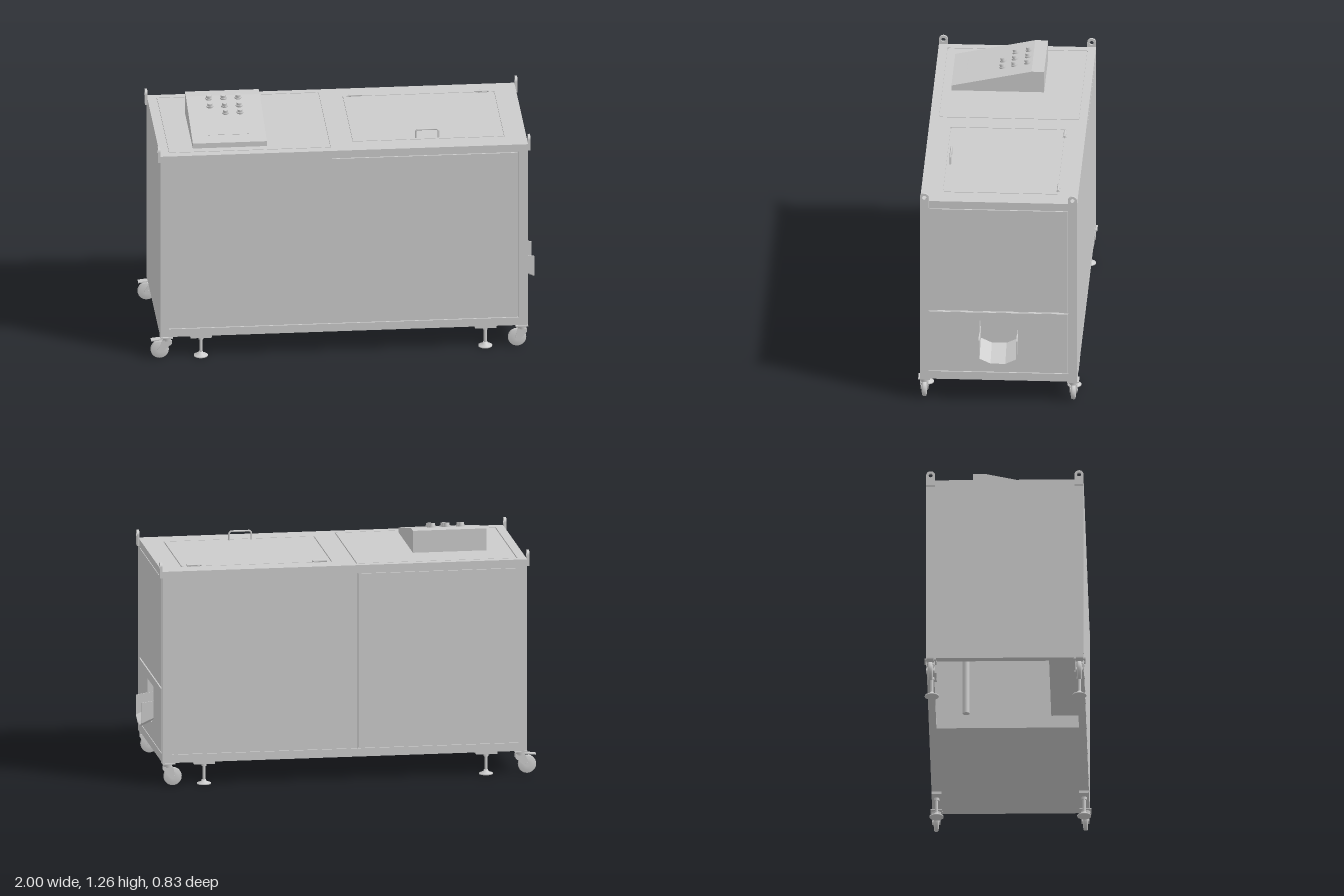
import * as THREE from 'three';

const mat = new THREE.MeshStandardMaterial({ color: 0xcccccc, flatShading: false, side: THREE.DoubleSide });
const X0 = -0.95, X1 = 0.94, Y0 = 0.12, Y1 = 1.125, Z = 0.403;

function add(parent, name, geo, x = 0, y = 0, z = 0) {
  const m = new THREE.Mesh(geo, mat);
  m.name = name;
  m.position.set(x, y, z);
  parent.add(m);
  return m;
}
// box given by its two corners
function box(parent, name, x0, x1, y0, y1, z0, z1) {
  return add(parent, name, new THREE.BoxGeometry(x1 - x0, y1 - y0, z1 - z0),
    (x0 + x1) / 2, (y0 + y1) / 2, (z0 + z1) / 2);
}
const cyl = (r0, r1, h, n = 20) => new THREE.CylinderGeometry(r0, r1, h, n);
const poly = (pts) => new THREE.Shape(pts.map(([a, b]) => new THREE.Vector2(a, b)));
const rect = ([a, b, c, d], g = 0) =>
  poly([[a - g, b - g], [c + g, b - g], [c + g, d + g], [a - g, d + g]]);
const extrude = (shape, depth) =>
  new THREE.ExtrudeGeometry(shape, { depth, bevelEnabled: false, curveSegments: 16 });

// One cabinet face: a frame, flush panels with a fine gap round them, and a backing sheet.
// The face is drawn in (u, v) and lies at local z = 0, facing +z.
function face(name, outer, panels, opening) {
  const g = new THREE.Group();
  g.name = name;
  const frame = rect(outer), back = rect(outer);
  panels.forEach((p) => frame.holes.push(rect(p, 0.005)));
  if (opening) back.holes.push(opening);
  add(g, name + 'Frame', extrude(frame, 0.008), 0, 0, -0.008);
  add(g, name + 'Backing', extrude(back, 0.006), 0, 0, -0.014);
  panels.forEach((p, i) => {
    const s = rect(p);
    if (opening && i === 0) s.holes.push(opening);
    add(g, name + 'Panel', extrude(s, 0.008), 0, 0, -0.008);
  });
  return g;
}

function cabinet() {
  const g = new THREE.Group();
  g.name = 'cabinet';
  const front = face('front', [X0, Y0, X1, Y1], [[-0.9, 0.168, -0.075, 1.08], [-0.067, 0.168, 0.885, 1.08]]);
  front.position.z = Z;
  const back = face('back', [-X1, Y0, -X0, Y1], [[-0.885, 0.168, 0.067, 1.08], [0.075, 0.168, 0.9, 1.08]]);
  back.rotation.y = Math.PI;
  back.position.z = -Z;
  const hole = poly([[-0.1, 0.285], [-0.04, 0.255], [0.04, 0.255], [0.1, 0.285], [0.1, 0.455], [-0.1, 0.455]]);
  const end = face('chuteEnd', [-Z, Y0, Z, Y1], [[-0.355, 0.168, 0.355, 0.5], [-0.355, 0.51, 0.355, 1.08]], hole);
  end.rotation.y = Math.PI / 2;
  end.position.x = X1;
  const plain = face('plainEnd', [-Z, Y0, Z, Y1], []);
  plain.rotation.y = -Math.PI / 2;
  plain.position.x = X0;
  const top = face('top', [X0, -Z, X1, Z], [[-0.9, -0.352, -0.075, 0.36], [0.05, -0.286, 0.823, 0.296]]);
  top.rotation.x = -Math.PI / 2;
  top.position.y = Y1;
  g.add(front, back, end, plain, top);

  // underside: floor over one half, open frame over the other
  box(g, 'floorPlate', -0.1, X1 - 0.01, Y0, Y0 + 0.01, -Z + 0.01, Z - 0.01);
  for (const s of [-1, 1])
    box(g, 'bottomRail', X0 + 0.01, -0.1, Y0, Y0 + 0.035, s * (Z - 0.023) - 0.015, s * (Z - 0.023) + 0.015);
  box(g, 'bottomCrossRail', X0 + 0.01, X0 + 0.04, Y0, Y0 + 0.035, -Z + 0.01, Z - 0.01);
  box(g, 'innerHousing', -0.9, 0.1, 0.28, 0.75, 0.22, Z - 0.02);
  add(g, 'drainPipe', cyl(0.018, 0.018, 0.3), -0.255, 0.28, -0.21);
  return g;
}

// Discharge channel, sheared so that it slopes down and outward
function chute() {
  const s = poly([[-0.1, 0.39], [-0.1, 0.29], [-0.04, 0.262], [0.04, 0.262], [0.1, 0.29], [0.1, 0.39],
    [0.094, 0.39], [0.094, 0.294], [0.038, 0.268], [-0.038, 0.268], [-0.094, 0.294], [-0.094, 0.39]]);
  const geo = extrude(s, 0.13);
  const p = geo.attributes.position;
  for (let i = 0; i < p.count; i++) {
    const z = p.getZ(i), y = p.getY(i);
    if (y < 0.35) p.setY(i, y - (z - 0.07) * 0.45);
    else if (z > 0.1) p.setY(i, y - 0.02);
  }
  geo.computeVertexNormals();
  const g = new THREE.Group();
  g.name = 'chute';
  add(g, 'chuteChannel', geo, 0, 0, 0.87);
  box(g, 'chuteBackPlate', -0.11, 0.11, 0.27, 0.47, 0.862, 0.87);
  for (const s of [-1, 1]) box(g, 'chuteSidePlate', s * 0.1 - 0.003, s * 0.1 + 0.003, 0.3, 0.455, 0.87, 0.935);
  g.rotation.y = Math.PI / 2;
  return g;
}

function controlBox() {
  const g = new THREE.Group();
  g.name = 'controlBox';
  // side profile in (-z, y)
  const profile = poly([[-0.31, Y1], [0.165, Y1], [0.165, 1.24], [0.1, 1.24], [-0.31, 1.152]]);
  const body = add(g, 'controlBoxBody', extrude(profile, 0.38), -0.775);
  body.rotation.y = Math.PI / 2;
  const slope = Math.atan2(0.088, 0.41);
  const deckY = (z) => 1.152 + (0.31 - z) * 0.088 / 0.41;
  for (const z of [-0.075, -0.007, 0.053]) for (const x of [-0.66, -0.585, -0.51]) {
    if (z > 0.03 && x < -0.6) continue;
    const b = new THREE.Group();
    b.name = 'button';
    add(b, 'buttonCollar', cyl(0.018, 0.018, 0.008), 0, 0.004);
    add(b, 'buttonCap', cyl(0.013, 0.014, 0.016), 0, 0.014);
    b.position.set(x, deckY(z), z);
    b.rotation.x = slope;
    g.add(b);
  }
  const strip = box(g, 'labelStrip', -0.69, -0.48, -0.001, 0.002, -0.002, 0.002);
  strip.position.set(-0.585, deckY(0.24), 0.24);
  strip.rotation.x = slope;
  return g;
}

function lidFittings() {
  const g = new THREE.Group();
  g.name = 'lidFittings';
  const path = new THREE.CurvePath();
  const pts = [[0.375, 1.12], [0.375, 1.162], [0.383, 1.171], [0.482, 1.171], [0.49, 1.162], [0.49, 1.12]]
    .map(([x, y]) => new THREE.Vector3(x, y, 0.27));
  for (let i = 0; i < 5; i++) path.add(new THREE.LineCurve3(pts[i], pts[i + 1]));
  add(g, 'lidHandle', new THREE.TubeGeometry(path, 60, 0.005, 8));
  for (const x of [0.11, 0.76]) {
    add(g, 'lidHinge', cyl(0.006, 0.006, 0.075, 12), x, 1.131, -0.297).rotation.z = Math.PI / 2;
    box(g, 'hingeLeaf', x - 0.03, x + 0.03, Y1, Y1 + 0.003, -0.307, -0.287);
  }
  return g;
}

// Lifting eye: round-topped plate with a hole
function liftingLug(x, z) {
  const s = new THREE.Shape();
  s.moveTo(-0.023, 1.09);
  s.lineTo(0.023, 1.09);
  s.lineTo(0.023, 1.148);
  s.absarc(0, 1.148, 0.023, 0, Math.PI, false);
  s.closePath();
  s.holes.push(new THREE.Path().absarc(0, 1.148, 0.011, 0, Math.PI * 2, true));
  const g = new THREE.Group();
  const m = add(g, 'liftingLug', extrude(s, 0.012), x, 0, z);
  m.rotation.y = Math.PI / 2;
  return m;
}

function caster(mountX, wheelX, z, brake) {
  const g = new THREE.Group();
  g.name = 'caster';
  box(g, 'casterPlate', mountX - 0.035, mountX + 0.03, 0.113, 0.12, z - 0.03, z + 0.03);
  add(g, 'casterSwivel', cyl(0.025, 0.022, 0.02), mountX, 0.105, z);
  const cheek = poly([[mountX - 0.025, 0.1], [wheelX - 0.012, 0.045], [wheelX + 0.014, 0.04],
    [mountX + 0.024, 0.08], [mountX + 0.024, 0.1]]);
  for (const s of [-1, 1]) add(g, 'casterFork', extrude(cheek, 0.003), 0, 0, z + s * 0.018 - 0.0015);
  // wheel with a rounded tread
  const tread = [[0.012, -0.013], [0.032, -0.013], [0.034, -0.009], [0.043, -0.011], [0.047, -0.006],
    [0.047, 0.006], [0.043, 0.011], [0.034, 0.009], [0.032, 0.013], [0.012, 0.013]];
  const wheel = new THREE.LatheGeometry(tread.map(([r, h]) => new THREE.Vector2(r, h)), 28);
  add(g, 'casterWheel', wheel, wheelX, 0.047, z).rotation.x = Math.PI / 2;
  add(g, 'casterAxle', cyl(0.012, 0.012, 0.042, 12), wheelX, 0.047, z).rotation.x = Math.PI / 2;
  if (brake) {
    const pedal = box(g, 'brakePedal', -0.03, 0.03, -0.003, 0.003, -0.018, 0.018);
    pedal.position.set(wheelX - 0.015, 0.102, z);
    pedal.rotation.z = 0.1;
  }
  return g;
}

function levellingFoot(x, z) {
  const g = new THREE.Group();
  g.name = 'levellingFoot';
  box(g, 'footBracket', x - 0.055, x + 0.055, 0.108, 0.12, z - 0.025, z + 0.025);
  add(g, 'footNut', cyl(0.014, 0.014, 0.014, 6), x, 0.101, z);
  add(g, 'footRod', cyl(0.008, 0.008, 0.1, 12), x, 0.06, z);
  const pad = [[0, 0], [0.036, 0], [0.036, 0.006], [0.014, 0.014], [0.011, 0.024], [0, 0.024]];
  add(g, 'footPad', new THREE.LatheGeometry(pad.map(([r, h]) => new THREE.Vector2(r, h)), 24), x, 0, z);
  return g;
}

export function createModel() {
  const model = new THREE.Group();
  model.name = 'machine';
  model.add(cabinet(), chute(), controlBox(), lidFittings());
  for (const s of [-1, 1]) {
    model.add(liftingLug(X0 - 0.012, s * 0.38), liftingLug(X1, s * 0.38));
    model.add(caster(-0.915, -0.952, s * 0.382, true), caster(0.91, 0.885, s * 0.382, false));
    model.add(levellingFoot(-0.74, s * 0.378), levellingFoot(0.722, s * 0.378));
  }
  return model;
}
